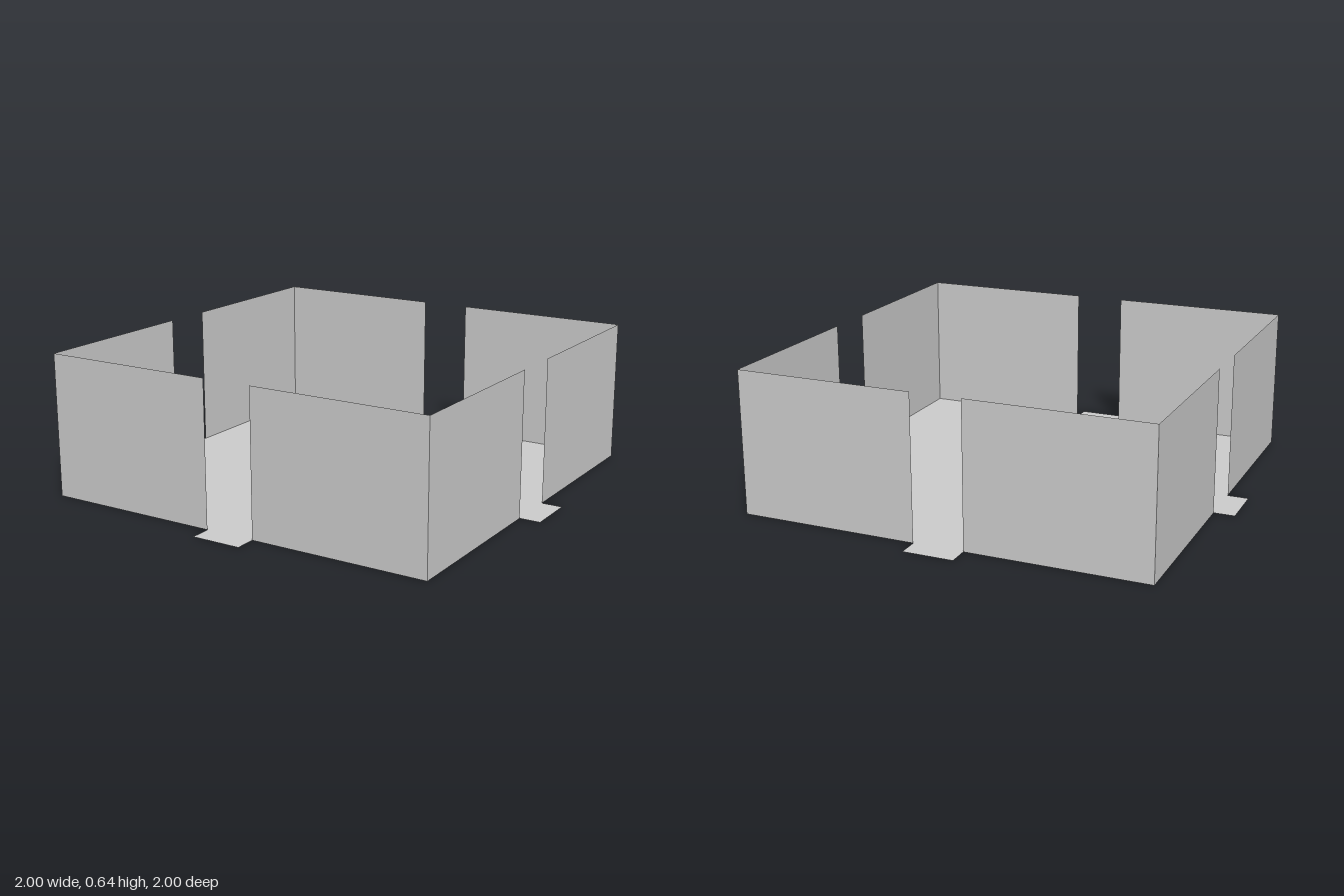
import * as THREE from 'three';

const HALF = 0.907;   // half width of the room
const GAP = 0.112;    // half width of each doorway
const HEIGHT = 0.637; // wall height

export function createModel() {
  const model = new THREE.Group();
  model.name = 'room';
  const grey = new THREE.MeshStandardMaterial({ color: 0xcccccc, side: THREE.DoubleSide });
  grey.name = 'plain grey';

  // Floor outline: a square with a threshold tab in the middle of each side
  const outline = [];
  for (let i = 0; i < 4; i++) {
    const angle = i * Math.PI / 2;
    for (const [x, y] of [[-HALF, -HALF], [-GAP, -HALF], [-GAP, -1], [GAP, -1], [GAP, -HALF]]) {
      outline.push(new THREE.Vector2(x, y).rotateAround(new THREE.Vector2(), angle));
    }
  }
  const floor = new THREE.Mesh(new THREE.ShapeGeometry(new THREE.Shape(outline)), grey);
  floor.name = 'floor';
  floor.rotation.x = -Math.PI / 2;
  model.add(floor);

  // Each side has two thin wall panels with an open doorway between them
  const panel = new THREE.PlaneGeometry(HALF - GAP, HEIGHT);
  ['front', 'left', 'back', 'right'].forEach((sideName, i) => {
    const wall = new THREE.Group();
    wall.name = sideName + 'Wall';
    wall.rotation.y = i * Math.PI / 2;
    for (const s of [-1, 1]) {
      const mesh = new THREE.Mesh(panel, grey);
      mesh.name = 'wallPanel';
      mesh.position.set(s * (HALF + GAP) / 2, HEIGHT / 2, HALF);
      wall.add(mesh);
    }
    model.add(wall);
  });

  return model;
}
